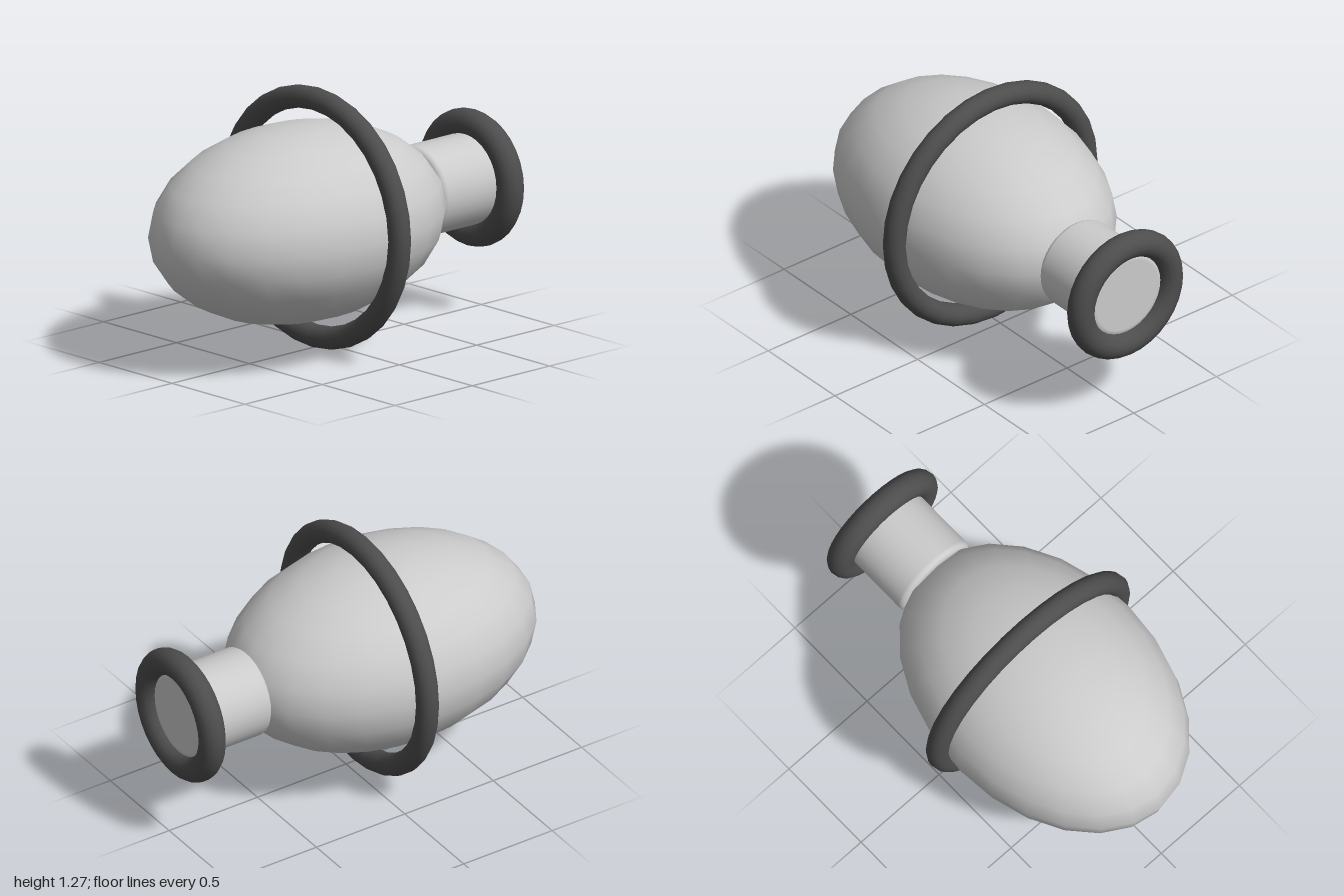
import * as THREE from 'three';

const CENTER_Y = 0.64;
const grey = new THREE.MeshStandardMaterial({ color: 0xcccccc });
const dark = new THREE.MeshStandardMaterial({ color: 0x4d4d4d });

function addPart(group, name, geometry, material, z) {
  const mesh = new THREE.Mesh(geometry, material);
  mesh.name = name;
  mesh.position.set(0, CENTER_Y, z);
  group.add(mesh);
}

// Solid cylinder along z with rounded rims, centred on its origin
function roundedCylinder(radius, length, bevel) {
  const h = length / 2;
  const points = [new THREE.Vector2(0, -h), new THREE.Vector2((radius - bevel) * 0.97, -h)];
  for (const end of [-1, 1]) {
    for (let i = 0; i <= 4; i++) {
      const a = (end < 0 ? i - 4 : i) * Math.PI / 8;
      points.push(new THREE.Vector2(
        radius - bevel + bevel * Math.cos(a),
        end * (h - bevel) + bevel * Math.sin(a)));
    }
  }
  points.push(new THREE.Vector2((radius - bevel) * 0.97, h), new THREE.Vector2(0, h));
  return new THREE.LatheGeometry(points, 32).rotateX(-Math.PI / 2);
}

export function createModel() {
  const model = new THREE.Group();
  model.name = 'model';

  // Egg-shaped body, longest along z
  addPart(model, 'body', new THREE.SphereGeometry(1, 24, 12).scale(0.56, 0.47, 0.81), grey, 0.19);

  // Large hoop around the body
  addPart(model, 'hoop', new THREE.TorusGeometry(0.58, 0.055, 16, 32), dark, 0.075);

  // Neck at the back, closed by a flat cap
  addPart(model, 'neck', roundedCylinder(0.22, 0.395, 0.03), grey, -0.7525);

  // Thick rim around the end of the neck
  addPart(model, 'neckRim', new THREE.TorusGeometry(0.268, 0.065, 16, 32), dark, -0.935);

  return model;
}
